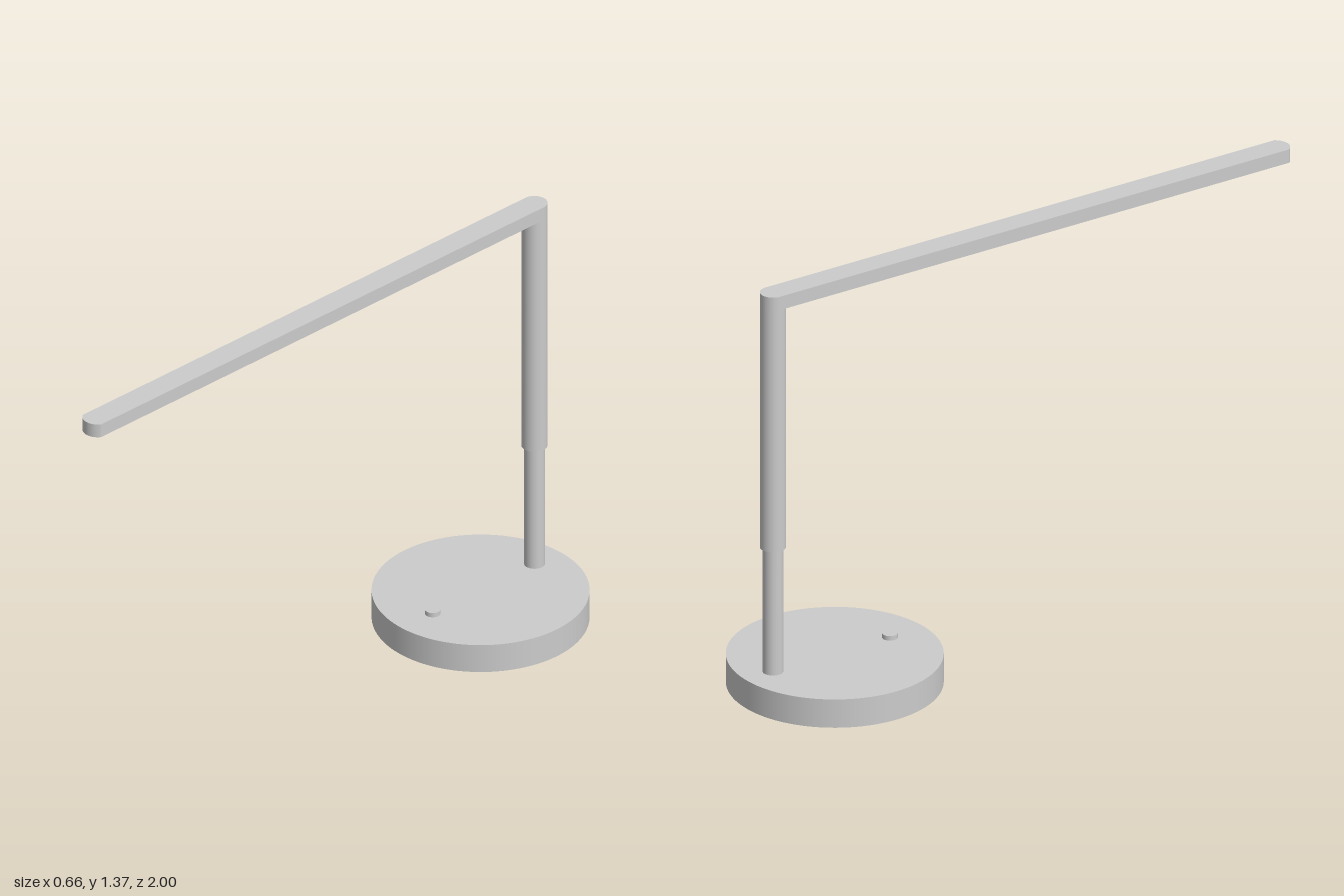
import * as THREE from 'three';

export function createModel() {
  const model = new THREE.Group();
  const material = new THREE.MeshStandardMaterial({ color: 0xcccccc });
  const postZ = -0.896;

  // upright cylinder between two heights
  function upright(name, radius, bottom, top, z, sides = 48) {
    const mesh = new THREE.Mesh(new THREE.CylinderGeometry(radius, radius, top - bottom, sides), material);
    mesh.name = name;
    mesh.position.set(0, (bottom + top) / 2, z);
    model.add(mesh);
  }

  upright('base', 0.332, 0, 0.095, -0.668, 96);
  upright('switchButton', 0.024, 0.095, 0.11, -0.465, 32);
  upright('lowerPost', 0.032, 0.095, 0.53, postZ);
  upright('upperPost', 0.04, 0.513, 1.325, postZ);

  // lamp arm: plan outline with a round back end and a shallow bowed tip
  const half = 0.04, tip = 1, bow = 0.022;
  const bowRadius = (half * half + bow * bow) / (2 * bow);
  const bowAngle = Math.asin(half / bowRadius);
  const outline = new THREE.Shape();
  outline.absarc(0, -postZ, half, 0, Math.PI, false);
  outline.lineTo(-half, -(tip - bow));
  outline.absarc(0, -(tip - bowRadius), bowRadius, -Math.PI / 2 - bowAngle, -Math.PI / 2 + bowAngle, false);
  outline.closePath();
  const armGeometry = new THREE.ExtrudeGeometry(outline, { depth: 0.045, bevelEnabled: false, curveSegments: 24 });
  armGeometry.rotateX(-Math.PI / 2);
  const arm = new THREE.Mesh(armGeometry, material);
  arm.name = 'lampArm';
  arm.position.y = 1.325;
  model.add(arm);

  return model;
}
